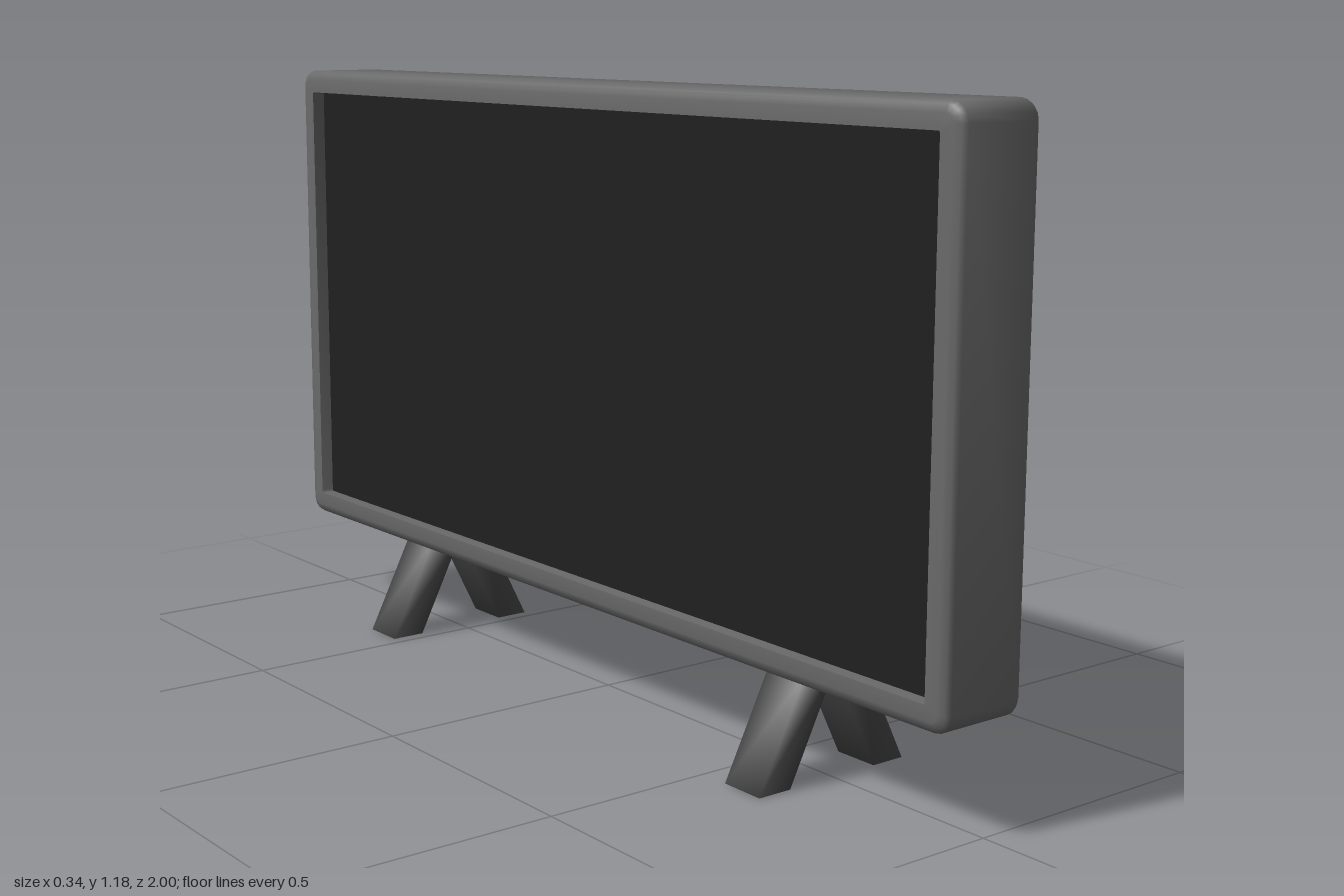
import * as THREE from 'three';
import { mergeVertices, toCreasedNormals } from 'three/addons/utils/BufferGeometryUtils.js';

const HALF_W = 1, HALF_H = 0.5, CENTER_Y = 0.685, CORNER = 0.035, STEPS = 4;
const BEZEL = 0.047, SCREEN_X = -0.068;

// Rounded rectangle in the y-z plane, running counter-clockwise about +x
function ring(x, inset) {
  const r = Math.max(CORNER - inset, 0.004);
  const points = [];
  for (let q = 0; q < 4; q++) {
    const sy = q === 0 || q === 3 ? 1 : -1;
    const sz = q < 2 ? 1 : -1;
    for (let s = 0; s <= STEPS; s++) {
      const a = (q + s / STEPS) * Math.PI / 2;
      points.push([
        x,
        CENTER_Y + sy * (HALF_H - inset - r) + r * Math.cos(a),
        sz * (HALF_W - inset - r) + r * Math.sin(a),
      ]);
    }
  }
  return points;
}

// Casing: closed back, softened edges, bezel and the recess wall
function casingGeometry() {
  const profile = [
    [0.083, 0.02], [0.079, 0.006], [0.07, 0],
    [-0.082, 0], [-0.091, 0.006], [-0.095, 0.02],
    [-0.095, BEZEL], [SCREEN_X, BEZEL],
  ];
  const rings = profile.map(([x, inset]) => ring(x, inset));
  const n = rings[0].length;
  const positions = rings.flat(2);
  const index = [];
  for (let i = 0; i < rings.length - 1; i++) {
    for (let j = 0; j < n; j++) {
      const a = i * n + j, b = i * n + (j + 1) % n;
      index.push(a, a + n, b, b, a + n, b + n);
    }
  }
  const center = positions.length / 3;
  positions.push(profile[0][0], CENTER_Y, 0);
  for (let j = 0; j < n; j++) index.push(center, j, (j + 1) % n);

  const geometry = new THREE.BufferGeometry();
  geometry.setAttribute('position', new THREE.Float32BufferAttribute(positions, 3));
  geometry.setIndex(index);
  return toCreasedNormals(geometry, 0.9);
}

// Slanted leg with a level foot, softly shaded like a block
function legGeometry(side) {
  const height = 0.2;
  let geometry = new THREE.BoxGeometry(0.07, height, 0.09);
  geometry.translate(0, height / 2, 0);
  const p = geometry.attributes.position;
  for (let i = 0; i < p.count; i++) {
    p.setX(i, p.getX(i) + side * (0.134 - 0.503 * p.getY(i)));
  }
  geometry.deleteAttribute('normal');
  geometry.deleteAttribute('uv');
  geometry = mergeVertices(geometry);
  geometry.computeVertexNormals();
  return geometry;
}

export function createModel() {
  const casingGrey = new THREE.MeshStandardMaterial({ color: 0x6a6a6a });
  casingGrey.name = 'casingGrey';
  const legGrey = new THREE.MeshStandardMaterial({ color: 0x484848 });
  legGrey.name = 'legGrey';
  const screenBlack = new THREE.MeshStandardMaterial({ color: 0x202020 });
  screenBlack.name = 'screenBlack';

  const model = new THREE.Group();
  model.name = 'television';
  const add = (name, geometry, material) => {
    const mesh = new THREE.Mesh(geometry, material);
    mesh.name = name;
    model.add(mesh);
    return mesh;
  };

  add('casing', casingGeometry(), casingGrey);

  // Screen at the bottom of the recess, facing -x
  const screen = add('screen',
    new THREE.PlaneGeometry(2 * (HALF_W - BEZEL), 2 * (HALF_H - BEZEL)), screenBlack);
  screen.rotation.y = -Math.PI / 2;
  screen.position.set(SCREEN_X, CENTER_Y, 0);

  // Two splayed pairs of legs
  for (const side of [-1, 1]) {
    for (const z of [0.603, -0.571]) {
      add('leg', legGeometry(side), legGrey).position.set(-0.002, 0, z);
    }
  }
  return model;
}
